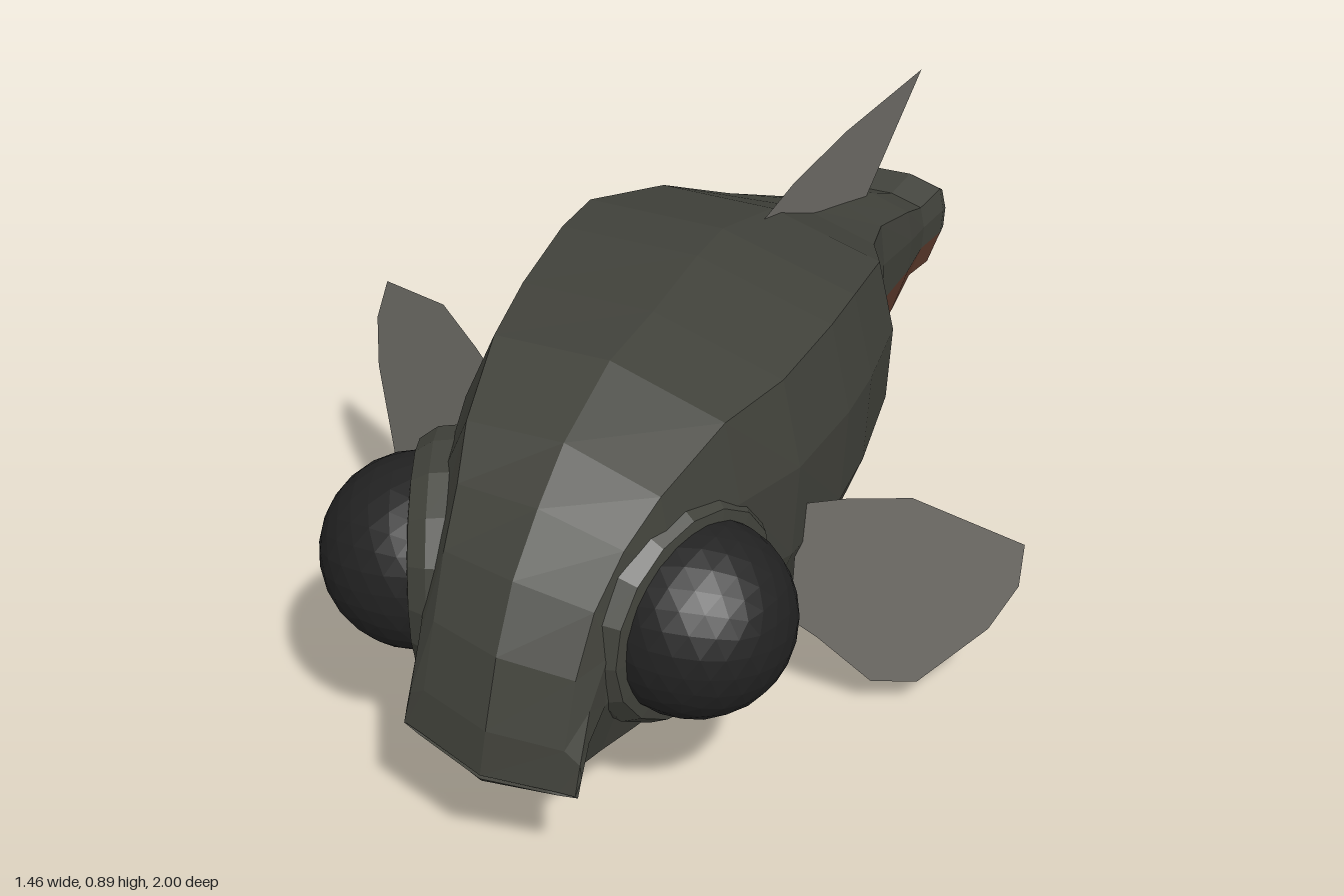
import * as THREE from 'three';

const flat = (name, color, side = THREE.FrontSide) => {
  const m = new THREE.MeshStandardMaterial({ color, flatShading: true, side });
  m.name = name;
  return m;
};

// Half cross-section, top to bottom: [share of half width, share of height]
const HALF = [[0, 1], [0.8, 0.945], [0.97, 0.72], [1, 0.46], [0.8, 0.07], [0, 0]];
const SECTION = [...HALF, ...HALF.slice(1, -1).reverse().map(([u, v]) => [-u, v])];

// Body stations, nose to tail: z, centre x, half width, top, bottom, setback of the sides
const STATIONS = [
  [1.0, -0.05, 0.18, 0.283, 0.275, 0.05],
  [0.99, -0.05, 0.18, 0.38, 0.262, 0.05],
  [0.95, -0.055, 0.18, 0.52, 0.24, 0.05],
  [0.88, -0.06, 0.19, 0.64, 0.22, 0.04],
  [0.79, -0.055, 0.21, 0.74, 0.205, 0.02],
  [0.69, -0.05, 0.245, 0.82, 0.20, 0],
  [0.51, -0.035, 0.295, 0.89, 0.18, 0],
  [0.33, -0.015, 0.34, 0.895, 0.12, 0],
  [0.1, -0.005, 0.362, 0.89, 0.1, 0],
  [-0.05, 0, 0.362, 0.87, 0.12, 0],
  [-0.28, 0.04, 0.305, 0.80, 0.165, 0],
  [-0.45, 0.065, 0.21, 0.715, 0.215, 0],
  [-0.6, 0.115, 0.122, 0.655, 0.255, 0],
  [-0.77, 0.145, 0.113, 0.595, 0.30, 0],
  [-0.88, 0.17, 0.09, 0.54, 0.335, 0],
  [-0.955, 0.19, 0.094, 0.555, 0.335, 0],
  [-0.985, 0.195, 0.088, 0.535, 0.345, 0],
];
const BROWN_START = 10;
const ROLL = 0.11, YAW = 0.15;

const RINGS = STATIONS.map(([z, cx, w, top, bottom, back]) => SECTION.map(([u, v]) => {
  const y = bottom + v * (top - bottom);
  return [cx + u * w + ROLL * (y - 0.5), y - ROLL * u * w, z + YAW * u * w - back * Math.abs(u)];
}));

// Skins the faces chosen by keep(station, segment), end caps included
function skin(keep) {
  const pos = [], n = SECTION.length, last = RINGS.length - 1;
  const tri = (a, b, c) => pos.push(...a, ...b, ...c);
  const middle = r => [0, 1, 2].map(a => r.reduce((s, p) => s + p[a], 0) / n);
  const noseCentre = middle(RINGS[0]), tailCentre = middle(RINGS[last]);
  for (let j = 0; j < n; j++) {
    const k = (j + 1) % n;
    for (let i = 0; i < last; i++) {
      if (!keep(i, j)) continue;
      const p = RINGS[i], q = RINGS[i + 1];
      tri(p[j], p[k], q[k]);
      tri(p[j], q[k], q[j]);
    }
    if (keep(0, j)) tri(noseCentre, RINGS[0][k], RINGS[0][j]);
    if (keep(last, j)) tri(tailCentre, RINGS[last][j], RINGS[last][k]);
  }
  const g = new THREE.BufferGeometry();
  g.setAttribute('position', new THREE.Float32BufferAttribute(pos, 3));
  g.computeVertexNormals();
  return g;
}

// Flat fin: a 2D outline whose points are placed in space by a rule
function fin(outline, place) {
  const g = new THREE.ShapeGeometry(new THREE.Shape(outline.map(([a, b]) => new THREE.Vector2(a, b))));
  const p = g.attributes.position;
  for (let i = 0; i < p.count; i++) p.setXYZ(i, ...place(p.getX(i), p.getY(i)));
  g.computeVertexNormals();
  return g;
}

export function createModel() {
  const model = new THREE.Group();
  model.name = 'fish';
  const olive = flat('olive skin', 0x41423b);
  const brown = flat('rust brown', 0x633e2f);
  const black = flat('eye black', 0x222222);
  const grey = flat('fin grey', 0x73716b, THREE.DoubleSide);
  const add = (name, geometry, material, parent = model) => {
    const m = new THREE.Mesh(geometry, material);
    m.name = name;
    parent.add(m);
  };

  // Body, with the lower rear flank in brown
  const isBrown = (i, j) => i >= BROWN_START && j >= 3 && j <= 6;
  add('body', skin((i, j) => !isBrown(i, j)), olive);
  add('lowerTail', skin(isBrown), brown);

  // Bulging eyes in raised sockets, each turned along its outward direction
  const socketProfile = [[0.215, -0.17], [0.24, -0.09], [0.235, -0.035], [0.212, 0], [0.18, 0.005], [0.17, -0.04]]
    .map(([r, y]) => new THREE.Vector2(r, y));
  [
    ['left', [0.228, 0.485, 0.678], [0.92, 0, 0.4]],
    ['right', [-0.335, 0.475, 0.637], [-0.95, 0, 0.3]],
  ].forEach(([side, at, out]) => {
    const eye = new THREE.Group();
    eye.name = side + 'Eye';
    eye.position.set(...at);
    eye.quaternion.setFromUnitVectors(new THREE.Vector3(0, 1, 0), new THREE.Vector3(...out).normalize());
    add('eyeball', new THREE.IcosahedronGeometry(0.19, 4), black, eye);
    add('socket', new THREE.LatheGeometry(socketProfile, 16), olive, eye);
    model.add(eye);
  });

  // Dorsal and anal fins, outlined in z and y on the leaning middle plane
  const middle = (z, y) => [0.04 + (-0.22 - z) * 0.19 + 0.13 * (y - 0.47), y, z];
  add('dorsalFin', fin([[-0.18, 0.815], [-0.32, 0.845], [-0.55, 0.857], [-0.915, 0.84], [-0.73, 0.61],
    [-0.7, 0.56], [-0.4, 0.68]], middle), grey);
  add('analFin', fin([[-0.17, 0.15], [-0.3, 0.09], [-0.55, 0.045], [-0.89, 0], [-0.72, 0.31],
    [-0.68, 0.36], [-0.4, 0.25]], middle), grey);

  // Pectoral fins, outlined in x and y and swept back
  add('leftPectoralFin', fin([[0.31, 0.25], [0.32, 0.525], [0.41, 0.53], [0.52, 0.52], [0.725, 0.39], [0.72, 0.29],
    [0.67, 0.19], [0.545, 0.07], [0.46, 0.08], [0.36, 0.2]],
  (x, y) => [x, y, 0.335 - 0.475 * (x - 0.32)]), grey);
  add('rightPectoralFin', fin([[-0.34, 0.4], [-0.34, 0.62], [-0.4, 0.64], [-0.51, 0.665], [-0.7, 0.605], [-0.73, 0.51],
    [-0.72, 0.41], [-0.65, 0.25], [-0.585, 0.23], [-0.52, 0.28], [-0.42, 0.35]],
  (x, y) => [x, y, 0.255 + 0.82 * (x + 0.36) - 0.23 * (y - 0.45)]), grey);

  return model;
}
